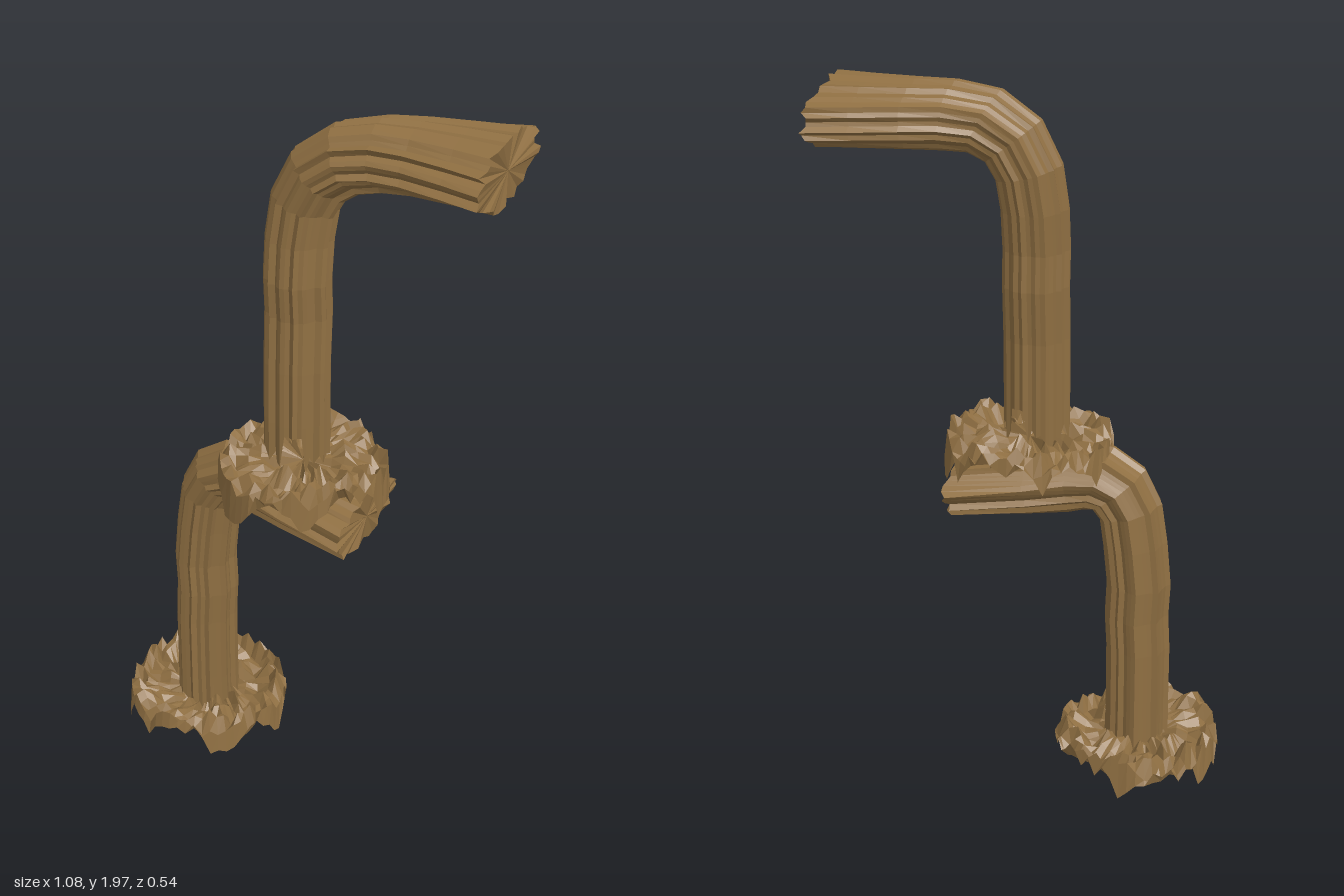
import * as THREE from 'three';

const bark = new THREE.MeshStandardMaterial({ color: 0x8f6f42, flatShading: true, side: THREE.DoubleSide });
bark.name = 'bark brown';

// Repeatable random numbers
function seeded(seed) {
  let s = seed;
  return () => {
    s = (s * 16807) % 2147483647;
    return s / 2147483647;
  };
}

// Joins closed rings of points into a faceted skin
function skin(name, rings) {
  const n = rings[0].length;
  const index = [];
  for (let i = 0; i < rings.length - 1; i++) {
    for (let j = 0; j < n; j++) {
      const k = (j + 1) % n;
      const a = i * n + j, b = i * n + k, c = a + n, d = b + n;
      index.push(a, c, b, b, c, d);
    }
  }
  const indexed = new THREE.BufferGeometry().setFromPoints(rings.flat());
  indexed.setIndex(index);
  const geometry = indexed.toNonIndexed();
  geometry.computeVertexNormals();
  const mesh = new THREE.Mesh(geometry, bark);
  mesh.name = name;
  return mesh;
}

// Fluted limb: sections are [x, y, z, heading in degrees, half depth, half width]
function limb(name, sections, seed, gap) {
  const rand = seeded(seed);
  const sides = 44;
  const flutes = Array.from({ length: sides }, () => 0.86 + 0.19 * rand());
  const rings = sections.map(([x, y, z, heading, depth, width], i) => {
    const h = THREE.MathUtils.degToRad(heading);
    const last = i === sections.length - 1;
    return flutes.map((f, j) => {
      const t = (j / sides) * Math.PI * 2;
      const c = Math.cos(t) * depth * f;
      let along = 0;
      if (i === 0) along = gap && Math.cos(t) > 0 && Math.cos(t) < 0.6 ? 0.08 : (rand() - 0.5) * 0.06;
      if (last) along = (rand() - 0.5) * 0.02;
      return new THREE.Vector3(
        x + Math.sin(h) * c + Math.cos(h) * along,
        y - Math.cos(h) * c + Math.sin(h) * along,
        z + Math.sin(t) * width * f);
    });
  });
  // Cut face at the tip
  const [x, y, z] = sections[sections.length - 1];
  const tip = flutes.map(() => new THREE.Vector3(x, y, z));
  const group = new THREE.Group();
  group.name = name;
  group.add(skin(name + 'Bark', rings), skin(name + 'CutEnd', [rings[rings.length - 1], tip]));
  return group;
}

// Ragged round root plate with a torn skirt
function rootPlate(name, x, y, z, seed) {
  const rand = seeded(seed);
  const sides = 60;
  // radius, height, height noise
  const profile = [
    [0.236, 0.075, 0.075], [0.228, 0.115, 0.05], [0.205, 0.13, 0.055], [0.185, 0.125, 0.04],
    [0.15, 0.115, 0.03], [0.115, 0.115, 0.045], [0.08, 0.115, 0.035], [0, 0.11, 0],
  ];
  const rings = profile.map(([r, h, noise]) => {
    let drift = 0;
    return Array.from({ length: sides }, (_, j) => {
      const t = (j / sides) * Math.PI * 2;
      drift = drift * 0.5 + (rand() * 2 - 1) * 0.7;
      const rr = r * (1 + 0.02 * Math.sin(3 * t + seed));
      const up = THREE.MathUtils.clamp(drift, -1, 1) * noise;
      return new THREE.Vector3(x + Math.cos(t) * rr, Math.max(y, y + h + up), z + Math.sin(t) * rr);
    });
  });
  return skin(name, rings);
}

export function createModel() {
  const model = new THREE.Group();
  model.name = 'steppedTrunk';

  model.add(rootPlate('lowerRootPlate', -0.31, 0.005, 0.028, 71));
  model.add(limb('lowerTrunk', [
    [-0.305, 0.11, 0.033, 90, 0.092, 0.09],
    [-0.305, 0.2, 0.033, 90, 0.09, 0.09],
    [-0.304, 0.4, 0.033, 90, 0.09, 0.09],
    [-0.298, 0.5, 0.033, 88, 0.09, 0.09],
    [-0.302, 0.6, 0.033, 90, 0.09, 0.09],
    [-0.29, 0.72, 0.033, 84, 0.09, 0.09],
    [-0.275, 0.82, 0.033, 74, 0.09, 0.09],
    [-0.24, 0.88, 0.033, 50, 0.095, 0.092],
    [-0.185, 0.905, 0.033, 22, 0.1, 0.096],
    [-0.11, 0.9, 0.032, -2, 0.098, 0.108],
    [0, 0.885, 0.03, -5, 0.093, 0.138],
    [0.205, 0.865, 0.028, -5, 0.086, 0.19],
  ], 1234, false));

  model.add(rootPlate('upperRootPlate', 0.015, 0.89, 0.037, 913));
  model.add(limb('upperTrunk', [
    [0, 1.03, 0.037, 90, 0.09, 0.09],
    [0, 1.14, 0.037, 90, 0.09, 0.09],
    [0, 1.3, 0.036, 90, 0.09, 0.088],
    [0, 1.45, 0.027, 90, 0.09, 0.09],
    [0, 1.55, 0.033, 90, 0.09, 0.092],
    [0.002, 1.66, 0.024, 88, 0.09, 0.093],
    [0.015, 1.76, 0.016, 76, 0.09, 0.096],
    [0.055, 1.84, 0.01, 52, 0.091, 0.1],
    [0.125, 1.89, -0.005, 26, 0.091, 0.11],
    [0.21, 1.905, -0.028, 7, 0.09, 0.125],
    [0.3, 1.908, -0.045, 0, 0.088, 0.15],
    [0.42, 1.908, -0.053, 0, 0.088, 0.186],
    [0.525, 1.908, -0.056, 0, 0.088, 0.22],
  ], 4321, true));

  return model;
}
